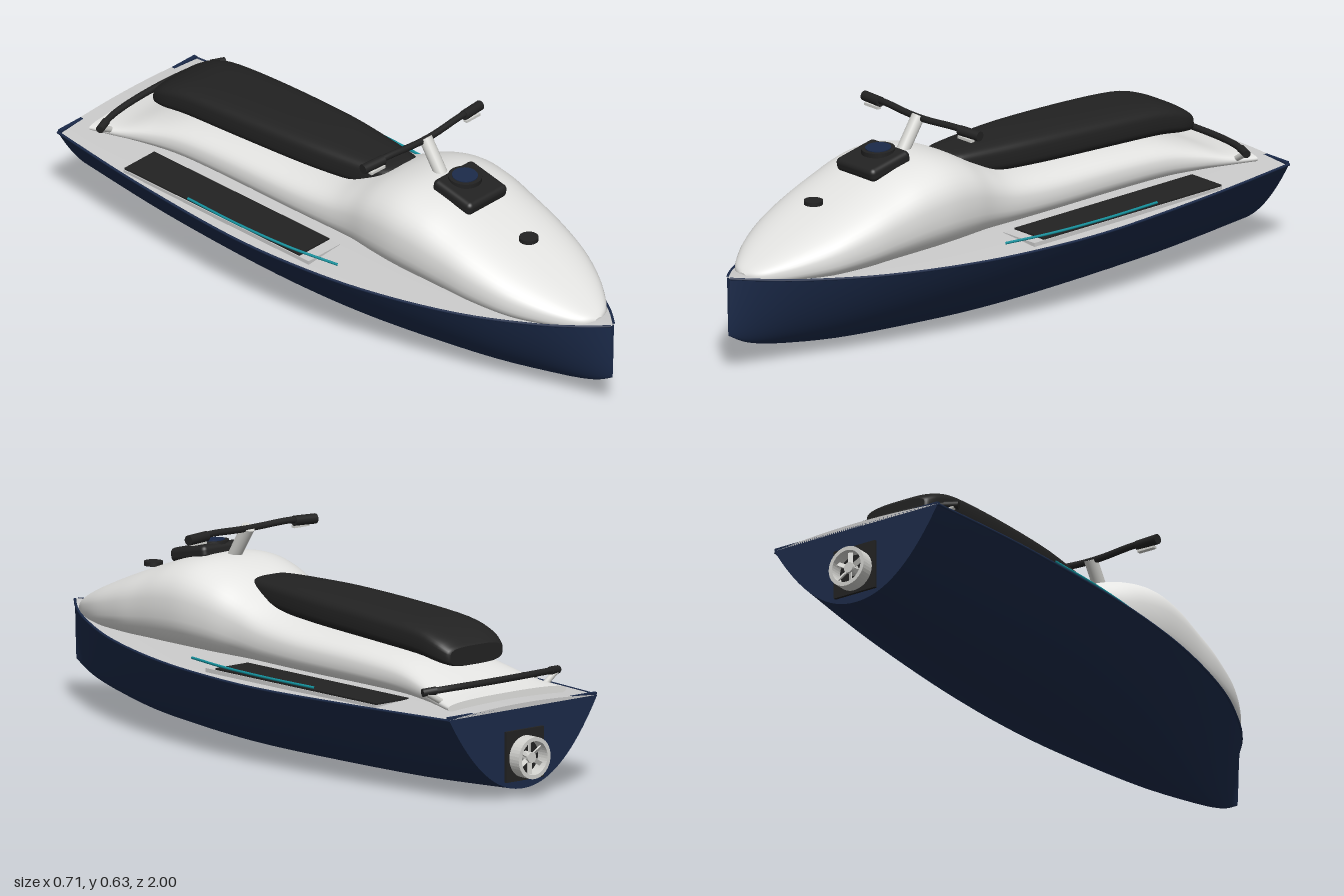
import * as THREE from 'three';
import { RoundedBoxGeometry } from 'three/addons/geometries/RoundedBoxGeometry.js';

const mat = (name, color, side = THREE.FrontSide) =>
  Object.assign(new THREE.MeshStandardMaterial({ color, side }), { name });

// Catmull-Rom refinement of rows of numbers
function refine(rows, n) {
  const out = [];
  const at = (i) => rows[Math.min(rows.length - 1, Math.max(0, i))];
  for (let i = 0; i < rows.length - 1; i++) {
    for (let k = 0; k < n; k++) {
      const t = k / n;
      out.push(rows[i].map((b, c) => {
        const a = at(i - 1)[c], d = at(i + 1)[c], e = at(i + 2)[c];
        return b + 0.5 * t * (d - a + t * (2 * a - 5 * b + 4 * d - e + t * (3 * (b - d) + e - a)));
      }));
    }
  }
  out.push(rows[rows.length - 1]);
  return out;
}

// Skin over rings ordered back to front, each counter-clockwise seen from +z
function loft(rings, closed, capBack, capFront) {
  const m = rings[0].length, pos = rings.flat(2), index = [];
  for (let i = 0; i < rings.length - 1; i++) {
    for (let j = 0; j < (closed ? m : m - 1); j++) {
      const a = i * m + j, b = i * m + (j + 1) % m;
      index.push(a, b, a + m, b, b + m, a + m);
    }
  }
  const cap = (ring, flip) => {
    const base = pos.length / 3;
    const mid = [0, 1, 2].map((c) => ring.reduce((s, p) => s + p[c], 0) / m);
    pos.push(...mid, ...ring.flat());
    for (let j = 0; j < m; j++) {
      const a = base + 1 + j, b = base + 1 + (j + 1) % m;
      index.push(base, flip ? b : a, flip ? a : b);
    }
  };
  if (capBack) cap(rings[0], true);
  if (capFront) cap(rings[rings.length - 1], false);
  const g = new THREE.BufferGeometry();
  g.setAttribute('position', new THREE.Float32BufferAttribute(pos, 3));
  g.setIndex(index);
  g.computeVertexNormals();
  return g;
}

// Superellipse ring from a row [z, halfWidth, bottom, top]
function oval([z, w, b, t], power, n = 48) {
  const s = (v) => Math.sign(v) * Math.abs(v) ** (2 / power);
  return Array.from({ length: n }, (_, j) => {
    const a = (j / n) * Math.PI * 2;
    return [w * s(Math.cos(a)), (b + t) / 2 + ((t - b) / 2) * s(Math.sin(a)), z];
  });
}

const V = (p) => new THREE.Vector3(...p);
const tube = (pts, r, seg = 32) =>
  new THREE.TubeGeometry(new THREE.CatmullRomCurve3(pts.map(V)), seg, r, 10);

export function createModel() {
  const model = new THREE.Group();
  const navy = mat('hull navy', 0x1b2a49);
  const white = mat('body white', 0xe4e4e2);
  const grey = mat('deck grey', 0xcbcbcb, THREE.DoubleSide);
  const black = mat('rubber black', 0x222222);
  const teal = mat('stripe teal', 0x138f9b);
  const metal = mat('light metal', 0xd4d4d0);
  const add = (name, geo, m, p = [0, 0, 0], r = [0, 0, 0]) => {
    const mesh = new THREE.Mesh(geo, m);
    mesh.name = name;
    mesh.position.set(...p);
    mesh.rotation.set(...r);
    model.add(mesh);
    return mesh;
  };
  // Straight round bar between two points
  const rod = (name, a, b, r, m) => {
    const d = V(b).sub(V(a));
    const mesh = add(name, new THREE.CylinderGeometry(r, r, d.length(), 20), m);
    mesh.position.copy(V(a)).addScaledVector(d, 0.5);
    mesh.quaternion.setFromUnitVectors(new THREE.Vector3(0, 1, 0), d.normalize());
  };

  // Hull stations: z, half width, keel height, sheer height, section power
  const stations = refine([
    [-0.95, 0.288, 0.024, 0.262, 2.1], [-0.6, 0.33, 0.007, 0.258, 2.15],
    [-0.2, 0.352, 0.002, 0.252, 2.2], [0.1, 0.338, 0.001, 0.254, 2.2],
    [0.35, 0.298, 0.008, 0.259, 2.1], [0.6, 0.227, 0.022, 0.268, 1.95],
    [0.8, 0.137, 0.05, 0.279, 1.75], [0.92, 0.066, 0.08, 0.289, 1.6],
    [0.995, 0.006, 0.118, 0.295, 1.5],
  ], 6);
  const span = (f) => Array.from({ length: 41 }, (_, j) => f(j / 20 - 1));
  add('hull', loft(stations.map(([z, w, k, s, p]) =>
    span((t) => [w * t, k + (s - k) * Math.abs(t) ** p, z])), false, true, true), navy);
  add('deck', loft(stations.map(([z, w, , s]) =>
    span((t) => [-w * t, s + 0.05 * w * (1 - t * t), z])), false, true), grey);

  // Gunwale trim around the sheer and transom
  for (const side of [-1, 1]) {
    add('gunwale', tube(stations.map(([z, w, , s]) => [side * w, s - 0.001, z]), 0.004, 70), navy);
  }
  add('transomTrim', new THREE.BoxGeometry(0.575, 0.012, 0.012), navy, [0, 0.264, -0.944]);

  // Cowl and seat pedestal
  add('body', loft(refine([
    [-0.88, 0.23, 0.258, 0.297], [-0.8, 0.208, 0.256, 0.312], [-0.7, 0.184, 0.25, 0.348],
    [-0.58, 0.17, 0.25, 0.378], [-0.4, 0.168, 0.25, 0.392], [-0.15, 0.172, 0.25, 0.402],
    [0, 0.176, 0.25, 0.422], [0.1, 0.186, 0.25, 0.462], [0.2, 0.21, 0.25, 0.51],
    [0.3, 0.224, 0.25, 0.532], [0.4, 0.223, 0.25, 0.522], [0.5, 0.215, 0.25, 0.49],
    [0.6, 0.205, 0.25, 0.453], [0.72, 0.178, 0.252, 0.405], [0.82, 0.132, 0.258, 0.362],
    [0.89, 0.083, 0.264, 0.328], [0.925, 0.048, 0.268, 0.31], [0.94, 0.015, 0.275, 0.298],
  ], 5).map((r) => oval(r, 2.6)), true, true, true), white);

  // Seat
  add('seat', loft(refine([
    [-0.745, 0.1, 0.362, 0.418], [-0.735, 0.11, 0.36, 0.427], [-0.69, 0.122, 0.364, 0.452],
    [-0.6, 0.124, 0.375, 0.476], [-0.4, 0.123, 0.385, 0.49], [-0.15, 0.113, 0.395, 0.499],
    [0.02, 0.094, 0.405, 0.499], [0.13, 0.076, 0.42, 0.496], [0.16, 0.066, 0.43, 0.49],
  ], 4).map((r) => oval(r, 3.4)), true, true, true), black);

  // Console with round display, and the fuel cap ahead of it
  add('console', new RoundedBoxGeometry(0.164, 0.042, 0.155, 4, 0.016), black, [0, 0.522, 0.425], [0.2, 0, 0]);
  add('display', new THREE.CylinderGeometry(0.05, 0.05, 0.014, 32), black, [0, 0.55, 0.405], [0.06, 0, 0]);
  add('displayFace', new THREE.CylinderGeometry(0.038, 0.038, 0.003, 32), navy, [0, 0.558, 0.405], [0.06, 0, 0]);
  add('fuelCap', new THREE.CylinderGeometry(0.028, 0.028, 0.012, 28), black, [0, 0.45, 0.66]);

  // Steering column and handlebar
  rod('steeringColumn', [0, 0.5, 0.325], [0, 0.618, 0.247], 0.02, metal);
  add('handlebar', tube([[-0.24, 0.614, 0.232], [-0.15, 0.619, 0.24], [-0.05, 0.615, 0.247], [0, 0.614, 0.248],
    [0.05, 0.615, 0.247], [0.15, 0.619, 0.24], [0.24, 0.614, 0.232]], 0.01), black);

  // Rear grab rail
  add('grabRail', tube([[-0.26, 0.32, -0.808], [-0.18, 0.325, -0.83], [0, 0.327, -0.842],
    [0.18, 0.325, -0.83], [0.26, 0.32, -0.808]], 0.01), black);

  for (const s of [-1, 1]) {
    rod('grip', [s * 0.17, 0.615, 0.239], [s * 0.247, 0.613, 0.231], 0.015, black);
    add('lever', new THREE.BoxGeometry(0.058, 0.008, 0.014), metal, [s * 0.2, 0.597, 0.243]);
    rod('railPost', [s * 0.25, 0.316, -0.812], [s * 0.19, 0.28, -0.822], 0.009, metal);
    rod('railEnd', [s * 0.222, 0.323, -0.82], [s * 0.263, 0.319, -0.806], 0.012, black);
    // Footwell tray with rubber mat
    add('footTray', new THREE.BoxGeometry(0.132, 0.012, 0.74), grey, [s * 0.25, 0.262, -0.29]);
    add('footMat', new THREE.BoxGeometry(0.126, 0.006, 0.7), black, [s * 0.25, 0.27, -0.31]);
    // Side accent stripe
    add('accentStripe', tube([[s * 0.319, 0.281, -0.4], [s * 0.323, 0.281, -0.2],
      [s * 0.313, 0.281, 0], [s * 0.287, 0.281, 0.17]], 0.004), teal);
  }

  // Jet pump: plate, nozzle ring, hub and blades
  add('pumpPlate', new THREE.BoxGeometry(0.145, 0.15, 0.012), black, [0, 0.125, -0.953]);
  const ring = [[0.05, -0.022], [0.062, -0.022], [0.062, 0.022], [0.05, 0.022], [0.05, -0.022]];
  const nozzle = new THREE.LatheGeometry(ring.map((p) => new THREE.Vector2(...p)), 40);
  const flatNozzle = nozzle.toNonIndexed();
  flatNozzle.computeVertexNormals();
  add('nozzle', flatNozzle, metal, [0, 0.12, -0.978], [Math.PI / 2, 0, 0]);
  add('hub', new THREE.CylinderGeometry(0.016, 0.016, 0.034, 20), metal, [0, 0.12, -0.972], [Math.PI / 2, 0, 0]);
  for (let i = 0; i < 6; i++) {
    const blade = new THREE.BoxGeometry(0.014, 0.042, 0.004);
    blade.rotateY(0.5).translate(0, 0.033, 0);
    add('blade', blade, metal, [0, 0.12, -0.978], [0, 0, (i * Math.PI) / 3]);
  }
  return model;
}
